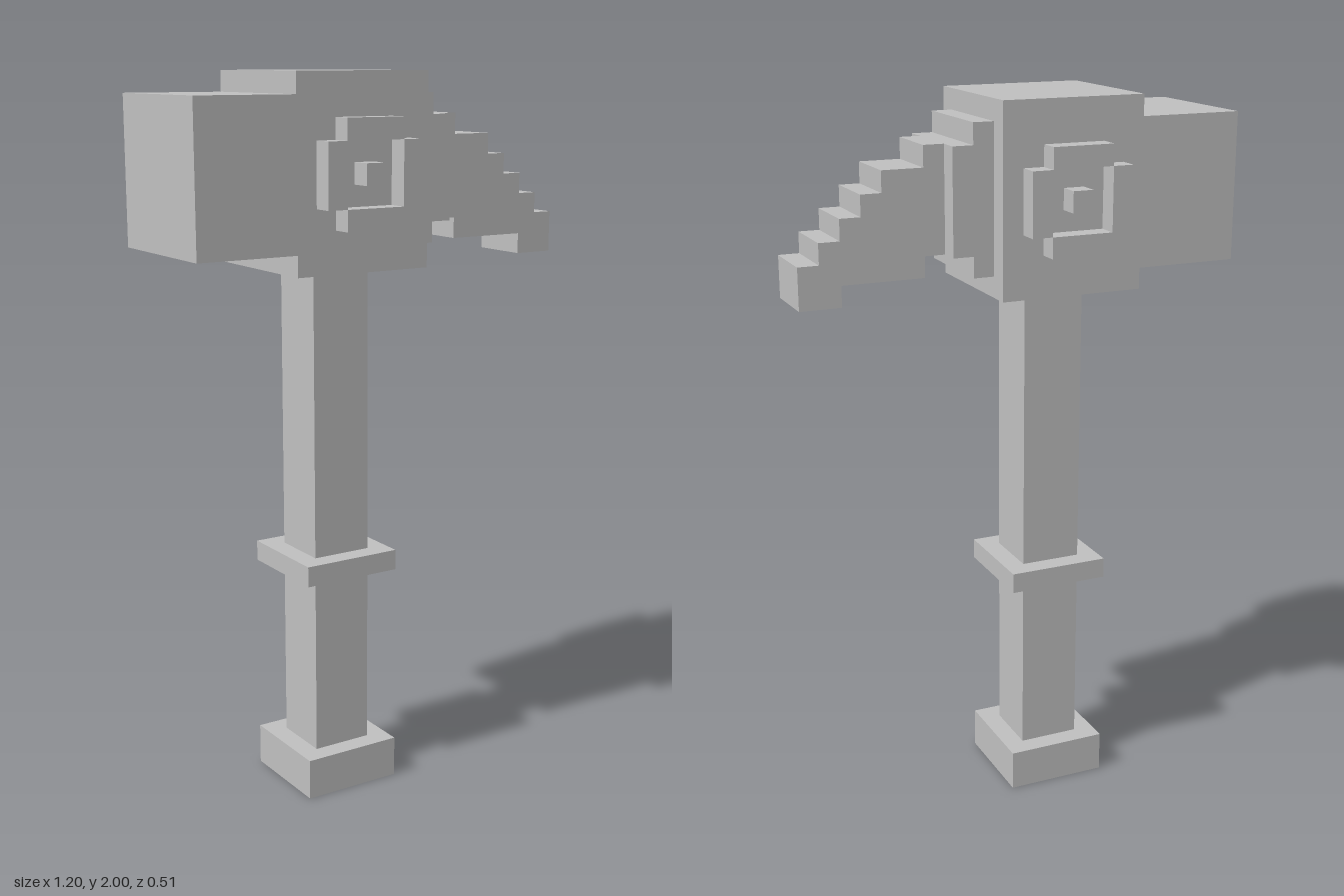
import * as THREE from 'three';

// Everything sits on a grid of 35 cells in height, 21 in width
const U = 2 / 35;
const X0 = -10.5;

const grey = new THREE.MeshStandardMaterial({ color: 0xc0c0c0 });
grey.name = 'stoneGrey';

// Box from grid cells: x and y ranges counted from the lower right corner, z range from the centre
function block(name, x1, x2, y1, y2, z1, z2) {
  const geometry = new THREE.BoxGeometry((x2 - x1) * U, (y2 - y1) * U, (z2 - z1) * U);
  const mesh = new THREE.Mesh(geometry, grey);
  mesh.name = name;
  mesh.position.set(((x1 + x2) / 2 + X0) * U, ((y1 + y2) / 2) * U, ((z1 + z2) / 2) * U);
  return mesh;
}

// Stepped spike, cut from one silhouette
function createSpike() {
  const outline = [
    [14, 28], [15, 28], [15, 27], [19, 27], [19, 26], [21, 26], [21, 28],
    [20, 28], [20, 29], [19, 29], [19, 30], [18, 30], [18, 31], [17, 31],
    [17, 32], [15, 32], [15, 33], [14, 33],
  ];
  const shape = new THREE.Shape(outline.map(([x, y]) => new THREE.Vector2((x + X0) * U, y * U)));
  const geometry = new THREE.ExtrudeGeometry(shape, { depth: 3 * U, bevelEnabled: false });
  geometry.translate(0, 0, -1.5 * U);
  const mesh = new THREE.Mesh(geometry, grey);
  mesh.name = 'spike';
  return mesh;
}

// Raised ring of four bars around a small stud
function createOrnament(name, z1, z2) {
  const group = new THREE.Group();
  group.name = name;
  group.add(
    block('ringTop', 7, 10, 32, 33, z1, z2),
    block('ringBottom', 7, 10, 28, 29, z1, z2),
    block('ringRight', 6, 7, 29, 32, z1, z2),
    block('ringLeft', 10, 11, 29, 32, z1, z2),
    block('stud', 8, 9, 30, 31, z1, z2),
  );
  return group;
}

export function createModel() {
  const model = new THREE.Group();
  model.name = 'warHammer';

  // Handle
  model.add(
    block('pommel', 6, 11, 0, 2, -2.5, 2.5),
    block('shaft', 7, 10, 2, 26, -1.5, 1.5),
    block('gripRing', 6, 11, 11, 12, -2.5, 2.5),
  );

  // Head
  model.add(
    block('headCore', 5, 12, 26, 35, -3.5, 3.5),
    block('hammerFace', 0, 5, 27, 34, -3.5, 3.5),
    block('collarLarge', 12, 13, 27, 34, -2.5, 2.5),
    block('collarSmall', 13, 14, 28, 33, -2.5, 2.5),
    createSpike(),
    createOrnament('frontOrnament', 3.5, 4.5),
    createOrnament('backOrnament', -4.5, -3.5),
  );

  return model;
}
